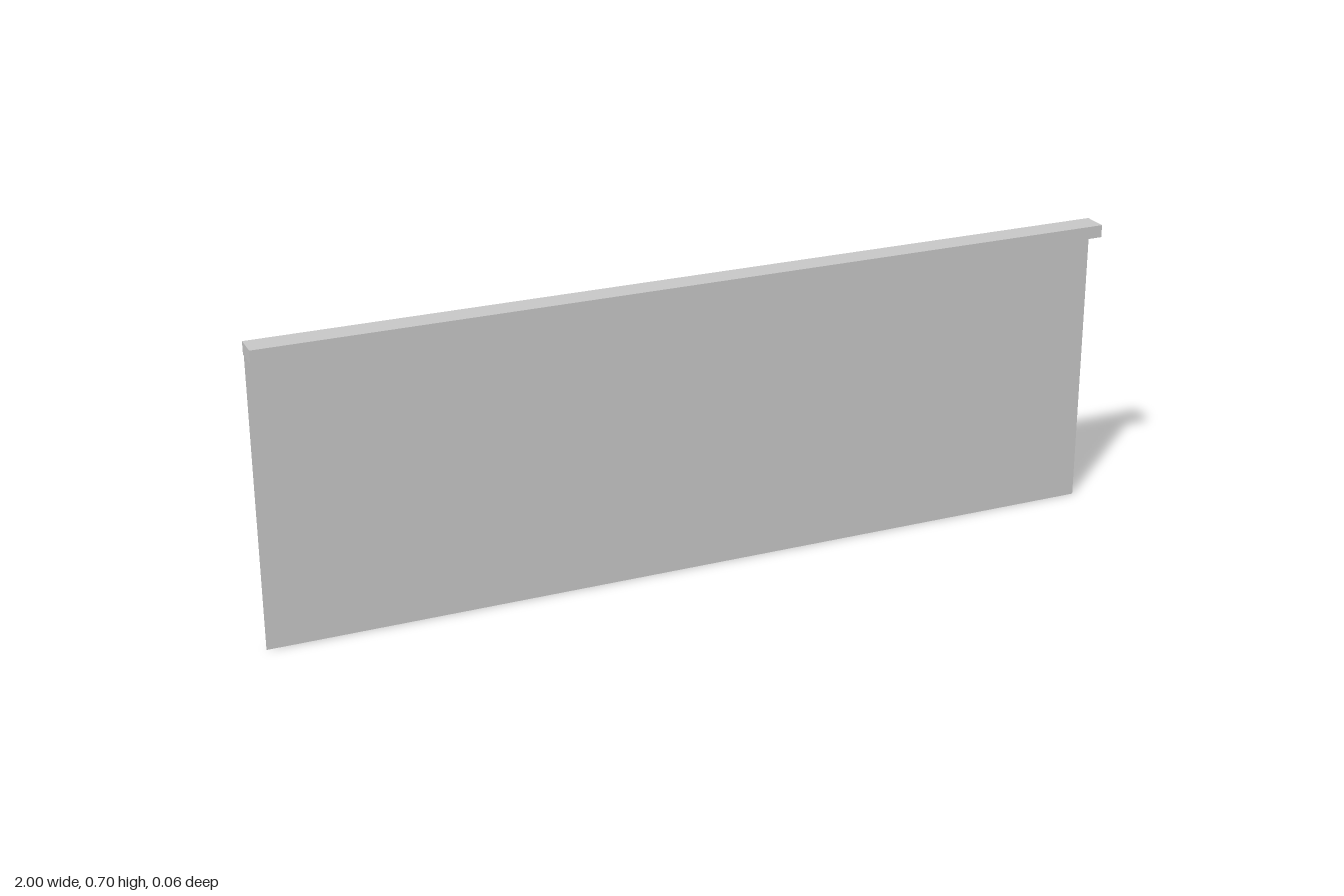
import * as THREE from 'three';

export function createModel() {
  const model = new THREE.Group();
  const grey = new THREE.MeshStandardMaterial({ color: 0xc7c7c7, side: THREE.DoubleSide });
  grey.name = 'light grey';

  const add = (name, geometry, x, y, z) => {
    const mesh = new THREE.Mesh(geometry, grey);
    mesh.name = name;
    mesh.position.set(x, y, z);
    model.add(mesh);
  };

  const barBottom = 0.671, panelZ = -0.0195;

  // top rail
  add('topRail', new THREE.BoxGeometry(2, 0.7 - barBottom, 0.059), 0, (0.7 + barBottom) / 2, 0.003);

  // thin hanging panel, set just inside the rail's back edge
  add('panel', new THREE.PlaneGeometry(2, barBottom), 0, barBottom / 2, panelZ);

  // three small studs on the back of the panel
  const stud = new THREE.CylinderGeometry(0.005, 0.005, 0.0125, 12).rotateX(Math.PI / 2);
  for (const x of [-0.7, 0, 0.7]) add('stud', stud, x, 0.641, panelZ - 0.00625);

  return model;
}
